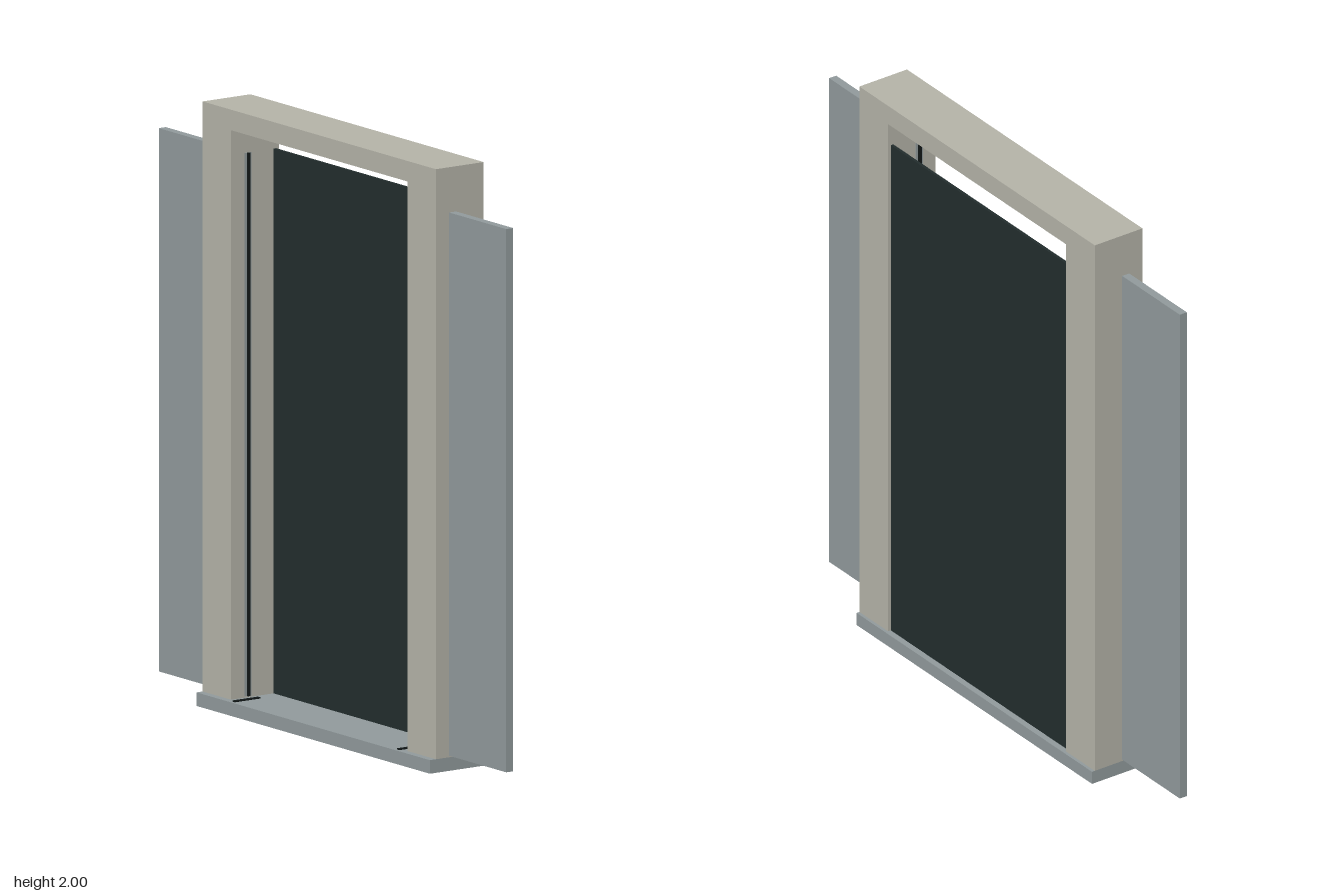
import * as THREE from 'three';

const material = (name, color) => {
  const m = new THREE.MeshStandardMaterial({ color });
  m.name = name;
  return m;
};

export function createModel() {
  const group = new THREE.Group();
  group.name = 'slidingDoorway';
  const stone = material('beige frame', 0xb4b3a8);
  const metal = material('blue grey metal', 0x919a9c);
  const dark = material('dark panel', 0x222d2d);
  const black = material('black trim', 0x121818);

  // Box given by its low and high corners
  const box = (name, mat, [x0, y0, z0], [x1, y1, z1]) => {
    const mesh = new THREE.Mesh(new THREE.BoxGeometry(x1 - x0, y1 - y0, z1 - z0), mat);
    mesh.position.set((x0 + x1) / 2, (y0 + y1) / 2, (z0 + z1) / 2);
    mesh.name = name;
    group.add(mesh);
  };
  // Same box on both sides of x = 0
  const pair = (name, mat, [x0, y0, z0], [x1, y1, z1]) => {
    box(name + 'Left', mat, [x0, y0, z0], [x1, y1, z1]);
    box(name + 'Right', mat, [-x1, y0, z0], [-x0, y1, z1]);
  };

  // Frame
  box('threshold', metal, [-0.648, 0, -0.113], [0.648, 0.045, 0.113]);
  pair('post', stone, [0.49, 0.045, -0.102], [0.648, 1.932, 0.089]);
  box('lintel', stone, [-0.648, 1.932, -0.102], [0.648, 2, 0.089]);

  // Back panel filling the opening up to a gap below the lintel
  box('backPanel', dark, [-0.49, 0.045, -0.091], [0.49, 1.85, -0.081]);

  // Open door leaves passing through the posts, with edge seals
  pair('doorLeaf', metal, [0.488, 0.05, 0.008], [0.965, 1.85, 0.036]);
  pair('doorSeal', black, [0.481, 0.05, 0.017], [0.488, 1.85, 0.027]);

  // Short floor guides
  pair('floorGuide', black, [0.45, 0.045, 0], [0.464, 0.049, 0.102]);

  return group;
}
